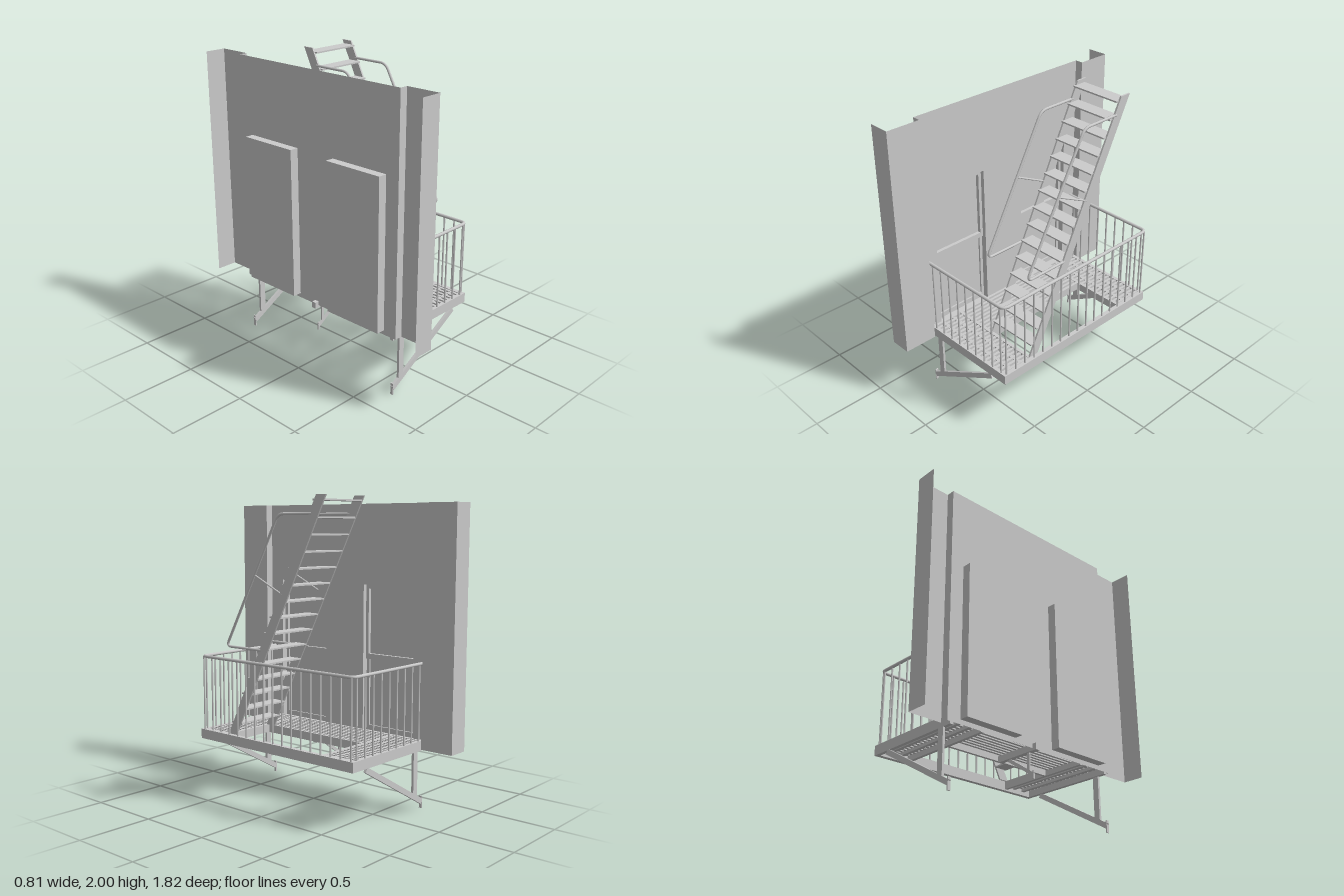
import * as THREE from 'three';

const mat = new THREE.MeshStandardMaterial({ color: 0xcccccc, side: THREE.DoubleSide });

export function createModel() {
  const root = new THREE.Group();
  root.name = 'fireEscape';

  const group = (name, parent = root) => {
    const g = new THREE.Group();
    g.name = name;
    parent.add(g);
    return g;
  };
  const add = (parent, name, geo) => {
    const m = new THREE.Mesh(geo, mat);
    m.name = name;
    parent.add(m);
    return m;
  };
  // Box given by its min and max on each axis
  const box = (parent, name, x0, x1, y0, y1, z0, z1) => {
    const m = add(parent, name, new THREE.BoxGeometry(x1 - x0, y1 - y0, z1 - z0));
    m.position.set((x0 + x1) / 2, (y0 + y1) / 2, (z0 + z1) / 2);
    return m;
  };
  // Sloping flat bar in the x-y plane
  const strut = (parent, name, xa, ya, xb, yb, height, depth, z) => {
    const m = add(parent, name, new THREE.BoxGeometry(Math.hypot(xb - xa, yb - ya), height, depth));
    m.position.set((xa + xb) / 2, (ya + yb) / 2, z);
    m.rotation.z = Math.atan2(yb - ya, xb - xa);
  };
  // Round bar along points, with rounded corners
  const pipe = (parent, name, pts, radius, corner) => {
    const path = new THREE.CurvePath();
    let prev = pts[0];
    for (let i = 1; i < pts.length - 1; i++) {
      const a = pts[i].clone().add(pts[i - 1].clone().sub(pts[i]).setLength(corner));
      const b = pts[i].clone().add(pts[i + 1].clone().sub(pts[i]).setLength(corner));
      path.add(new THREE.LineCurve3(prev, a));
      path.add(new THREE.QuadraticBezierCurve3(a, pts[i], b));
      prev = b;
    }
    path.add(new THREE.LineCurve3(prev, pts[pts.length - 1]));
    add(parent, name, new THREE.TubeGeometry(path, pts.length > 2 ? 140 : 1, radius, 8));
  };
  const v = (x, y, z) => new THREE.Vector3(x, y, z);
  const rect = (C, u0, u1, y0, y1) =>
    new C([[u0, y0], [u1, y0], [u1, y1], [u0, y1]].map(p => new THREE.Vector2(...p)));

  // Wall: thin sheet with two window openings, stepped out at both ends
  const wallX = -0.32, wallY0 = 0.4, wallY1 = 1.96;
  const wall = group('wall');
  const win = { z0: 0.155, z1: 0.585, y0: 0.43, y1: 1.44 };
  const sheet = rect(THREE.Shape, -0.68, 0.68, wallY0, wallY1);
  for (const s of [-1, 1]) {
    const [a, b] = s > 0 ? [win.z0, win.z1] : [-win.z1, -win.z0];
    sheet.holes.push(rect(THREE.Path, a, b, win.y0, win.y1));
  }
  const face = add(wall, 'wallFace', new THREE.ShapeGeometry(sheet));
  face.rotation.y = Math.PI / 2;
  face.position.x = wallX;
  const panel = (name, w, x, z, turn) => {
    const m = add(wall, name, new THREE.PlaneGeometry(w, wallY1 - wallY0));
    m.position.set(x, (wallY0 + wallY1) / 2, z);
    m.rotation.y = turn;
  };
  for (const s of [-1, 1]) {
    panel('pilasterStep', 0.055, -0.2925, s * 0.68, s > 0 ? Math.PI : 0);
    panel('pilasterFace', 0.23, -0.265, s * 0.795, Math.PI / 2);
    panel('pilasterEnd', 0.145, -0.3375, s * 0.91, s > 0 ? 0 : Math.PI);
  }

  // Recessed windows with sashes
  for (const s of [-1, 1]) {
    const w = group('window');
    const bar = (name, x0, x1, y0, y1, z0, z1) =>
      s > 0 ? box(w, name, x0, x1, y0, y1, z0, z1) : box(w, name, x0, x1, y0, y1, -z1, -z0);
    const { z0, z1, y0, y1 } = win, t = 0.008;
    bar('windowBack', -0.38, -0.372, y0, y1, z0, z1);
    bar('windowSill', -0.38, wallX, y0, y0 + t, z0, z1);
    bar('windowHead', -0.38, wallX, y1 - t, y1, z0, z1);
    bar('windowJamb', -0.38, wallX, y0, y1, z0, z0 + t);
    bar('windowJamb', -0.38, wallX, y0, y1, z1 - t, z1);
    for (const [a, b, x] of [[y0 + t, 0.96, -0.36], [0.93, y1 - t, -0.348]]) {
      bar('sashRail', -0.372, x, a, a + 0.035, z0 + t, z1 - t);
      bar('sashRail', -0.372, x, b - 0.03, b, z0 + t, z1 - t);
      bar('sashStile', -0.372, x, a, b, z0 + t, z0 + 0.03);
      bar('sashStile', -0.372, x, a, b, z1 - 0.03, z1 - t);
    }
  }

  // Platform frame around the stair opening
  const deck = group('platform');
  const y0 = 0.385, y1 = 0.45;
  box(deck, 'outerBeam', 0.375, 0.405, y0, y1, -0.66, 0.66);
  box(deck, 'openingBeam', -0.015, 0.005, y0 + 0.01, y1, -0.42, 0.42);
  box(deck, 'middleBeam', -0.35, -0.015, y0, 0.428, -0.015, 0.015);
  for (const s of [-1, 1]) {
    box(deck, 'endBeam', -0.32, 0.405, y0, y1, s * 0.6475 - 0.0125, s * 0.6475 + 0.0125);
    box(deck, 'crossBeam', -0.32, 0.38, y0 + 0.01, y1, s * 0.418 - 0.011, s * 0.418 + 0.011);
    for (const z of [0.49, 0.575])
      box(deck, 'gratingSupport', -0.32, 0.38, 0.41, 0.445, s * z - 0.012, s * z + 0.012);
  }
  // Grating bars
  for (let i = 0; i < 21; i++) {
    const x = -0.308 + i * 0.0335;
    if (x < -0.02) box(deck, 'gratingBar', x - 0.009, x + 0.009, 0.428, 0.448, -0.41, 0.41);
    for (const s of [-1, 1])
      box(deck, 'gratingBar', x - 0.009, x + 0.009, 0.428, 0.448, s * 0.53 - 0.11, s * 0.53 + 0.11);
  }

  // Guard rail and balusters
  const guard = group('guardRail');
  const rx = 0.392, rz = 0.65, ry = 0.95;
  pipe(guard, 'topRail', [v(wallX, ry, rz), v(rx, ry, rz), v(rx, ry, -rz), v(wallX, ry, -rz)], 0.011, 0.04);
  const baluster = (x, z) => {
    const m = add(guard, 'baluster', new THREE.CylinderGeometry(0.006, 0.006, ry - 0.44, 8));
    m.position.set(x, (ry + 0.44) / 2, z);
  };
  for (let i = 0; i < 9; i++) for (const s of [-1, 1]) baluster(-0.277 + i * 0.0795, s * rz);
  for (let i = 0; i < 17; i++) baluster(rx, -0.636 + i * 0.0795);

  // Stair: stringers, treads and hand rails
  const stair = group('stair');
  const slant = new THREE.Shape([[-0.42, 0.45], [-0.35, 0.45], [0.42, 2], [0.345, 2]]
    .map(p => new THREE.Vector2(...p)));
  for (const x of [0.004, 0.362]) {
    const m = add(stair, 'stringer', new THREE.ExtrudeGeometry(slant, { depth: 0.012, bevelEnabled: false }));
    m.rotation.y = Math.PI / 2;
    m.position.x = x;
  }
  for (let i = 0; i < 15; i++) {
    const y = 0.53 + i * 0.1029, front = 0.402 - i * 0.0509;
    box(stair, 'tread', 0.012, 0.366, y - 0.005, y + 0.005, front - 0.095, front);
  }
  for (const x of [0.009, 0.369]) {
    pipe(stair, 'handRail',
      [v(x, 1.035, 0.12), v(x, 1.035, 0.435), v(x, 1.89, -0.035), v(x, 1.89, -0.31)], 0.009, 0.045);
    pipe(stair, 'handRailBrace', [v(x, 1.51, 0.172), v(x, 1.395, -0.07)], 0.006);
  }

  // Supporting brackets: two large at the ends, one small in the middle
  for (const s of [-1, 1]) {
    const b = group('endBracket'), z = s * 0.652;
    box(b, 'bracketPost', -0.258, -0.215, 0.085, 0.39, z - 0.008, z + 0.008);
    strut(b, 'bracketStrut', -0.31, 0.045, 0.275, 0.378, 0.035, 0.018, z);
    box(b, 'wallPlate', -0.315, -0.307, 0, 0.08, z - 0.01, z + 0.01);
  }
  const mid = group('middleBracket');
  box(mid, 'bracketPost', -0.282, -0.262, 0.26, 0.39, -0.005, 0.005);
  strut(mid, 'bracketStrut', -0.31, 0.24, -0.1, 0.382, 0.022, 0.01, 0);
  box(mid, 'wallPlate', -0.315, -0.307, 0.212, 0.265, -0.006, 0.006);

  return root;
}
